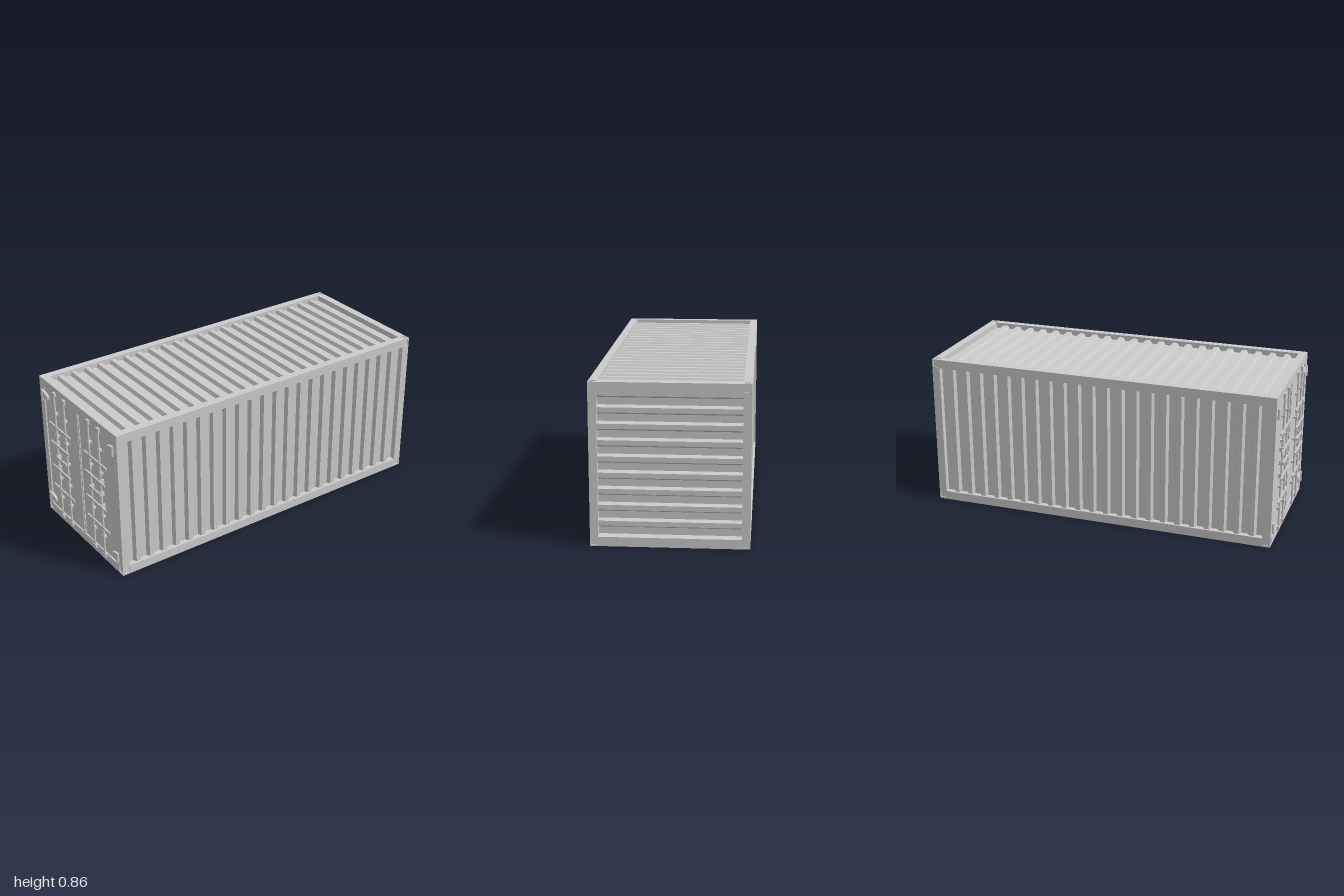
import * as THREE from 'three';

const V = (x, y, z) => new THREE.Vector3(x, y, z);
const C = V(0.01, 0.43, 0);          // body centre
const H = V(0.99, 0.43, 0.41);       // body half sizes
const OPEN = V(0.945, 0.38, 0.367);  // half sizes of the frame openings
const SKIN = 0.006;                  // frame plate thickness
const mat = new THREE.MeshStandardMaterial({ color: 0xcccccc, flatShading: true });
const smooth = new THREE.MeshStandardMaterial({ color: 0xcccccc });

const along = (vec, axis) => Math.abs(vec.dot(axis));

function rect(P, x0, y0, x1, y1) {
  const p = new P();
  p.moveTo(x0, y0); p.lineTo(x1, y0); p.lineTo(x1, y1); p.lineTo(x0, y1);
  p.closePath();
  return p;
}

function add(parent, name, geo, pos = V(0, 0, 0), material = mat) {
  const m = new THREE.Mesh(geo, material);
  m.name = name;
  m.position.copy(pos);
  parent.add(m);
  return m;
}
const box = (parent, name, w, h, d, x, y, z) =>
  add(parent, name, new THREE.BoxGeometry(w, h, d), V(x, y, z));

// Outer frame plate of one side, with its opening and corner fitting holes
function framePlate(parent, u, n) {
  const v = n.clone().cross(u);
  const a = along(H, u), b = along(H, v);
  const shape = rect(THREE.Shape, -a, -b, a, b);
  shape.holes.push(rect(THREE.Path, -along(OPEN, u), -along(OPEN, v), along(OPEN, u), along(OPEN, v)));
  for (const i of [-1, 1]) for (const j of [-1, 1]) {
    const corner = u.clone().multiplyScalar(i * a).addScaledVector(v, j * b).addScaledVector(n, along(H, n));
    if (corner.x < 0 && corner.y > 0) continue; // plain upper corners at the door end
    const hu = along(V(0.032, 0.037, 0.03), u), hv = along(V(0.032, 0.037, 0.03), v);
    const x0 = i * (a - 0.008 - hu / 2), y0 = j * (b - 0.008 - hv / 2);
    shape.holes.push(rect(THREE.Path, x0 - hu / 2, y0 - hv / 2, x0 + hu / 2, y0 + hv / 2));
  }
  const geo = new THREE.ExtrudeGeometry(shape, { depth: SKIN, bevelEnabled: false });
  geo.translate(0, 0, along(H, n) - SKIN);
  geo.applyMatrix4(new THREE.Matrix4().makeBasis(u, v, n));
  add(parent, 'framePlate', geo, C);
}

// Trapezoid-ribbed sheet: ribs follow each other along u and stand out along n
function ribbedPanel(parent, name, u, n, ribs, extent, width) {
  const w = u.clone().cross(n), top = along(H, n) - 0.012, low = top - 0.02;
  const s = new THREE.Shape();
  s.moveTo(-extent, low - 0.005);
  s.lineTo(-extent, low);
  for (const c of ribs) {
    s.lineTo(c - 0.024, low);
    s.lineTo(c - 0.013, top);
    s.lineTo(c + 0.013, top);
    s.lineTo(c + 0.024, low);
  }
  s.lineTo(extent, low);
  s.lineTo(extent, low - 0.005);
  s.closePath();
  const geo = new THREE.ExtrudeGeometry(s, { depth: width, bevelEnabled: false });
  geo.translate(0, 0, -width / 2);
  geo.applyMatrix4(new THREE.Matrix4().makeBasis(u, n, w));
  add(parent, name, geo, C);
}

function buildFrame(parent) {
  const frame = new THREE.Group();
  frame.name = 'frame';
  parent.add(frame);
  const X = V(1, 0, 0), Z = V(0, 0, 1);
  for (const s of [-1, 1]) {
    framePlate(frame, X, V(0, 0, s));
    framePlate(frame, X, V(0, s, 0));
    framePlate(frame, Z, V(s, 0, 0));
  }
  // twelve beams behind the plates
  const t = H.clone().subScalar(SKIN).sub(OPEN);
  const mid = OPEN.clone().addScaledVector(t, 0.5);
  const full = H.clone().subScalar(SKIN).multiplyScalar(2);
  for (const i of [-1, 1]) for (const j of [-1, 1]) {
    box(frame, 'longRail', full.x, t.y, t.z, C.x, C.y + i * mid.y, j * mid.z);
    box(frame, 'endRail', t.x, t.y, full.z, C.x + j * mid.x, C.y + i * mid.y, 0);
    box(frame, 'cornerPost', t.x, full.y, t.z, C.x + i * mid.x, C.y, j * mid.z);
  }
}

// One door leaf on the -x end; side is the sign of z
function buildDoor(parent, side) {
  const door = new THREE.Group();
  door.name = side > 0 ? 'frontDoor' : 'backDoor';
  parent.add(door);
  const face = -0.972;
  box(door, 'doorLeaf', 0.02, 0.77, 0.366, face + 0.01, 0.43, side * 0.188);
  box(door, 'doorGasket', 0.006, 0.76, 0.008, face - 0.002, 0.43, side * 0.008);

  for (const z of [0.13, 0.235]) {
    add(door, 'lockRod', new THREE.CylinderGeometry(0.006, 0.006, 0.8, 10), V(-0.987, 0.43, side * z), smooth);
    for (const y of [0.04, 0.82]) box(door, 'rodCam', 0.014, 0.022, 0.026, -0.985, y, side * z);
    for (const y of [0.16, 0.29, 0.43, 0.56, 0.70])
      box(door, 'rodGuide', 0.019, 0.014, 0.022, -0.983, y, side * z);
  }
  // cross bars and handles
  for (const y of [0.22, 0.62])
    box(door, 'crossBar', 0.008, 0.012, 0.23, -0.99, y, side * 0.19);
  for (const [y, z] of [[0.355, 0.19], [0.51, 0.19], [0.43, 0.185]]) {
    box(door, 'handle', 0.008, 0.012, y === 0.43 ? 0.12 : 0.2, -0.996, y, side * z);
    box(door, 'handleCatch', 0.024, 0.024, 0.014, -0.984, y, side * (z + 0.05));
  }
  // hinges: a knuckle on the post with a tapering strap
  for (const y of [0.1, 0.76]) {
    add(door, 'hingeKnuckle', new THREE.CylinderGeometry(0.008, 0.008, 0.06, 10), V(-0.986, y, side * 0.372), smooth);
    const s = new THREE.Shape();
    s.moveTo(0, -0.026); s.lineTo(0.055, -0.01); s.lineTo(0.055, 0.01); s.lineTo(0, 0.026);
    s.closePath();
    const geo = new THREE.ExtrudeGeometry(s, { depth: 0.014, bevelEnabled: false });
    geo.translate(0, 0, -0.007);
    const strap = add(door, 'hingeStrap', geo, V(-0.98, y, side * 0.372));
    strap.rotation.y = side * Math.PI / 2;
  }
}

export function createModel() {
  const model = new THREE.Group();
  model.name = 'cargoContainer';
  buildFrame(model);

  // ribbed walls, roof, floor and closed end
  const X = V(1, 0, 0), Y = V(0, 1, 0);
  const longRibs = Array.from({ length: 22 }, (_, i) => (i - 10.5) * 0.084);
  const endRibs = Array.from({ length: 10 }, (_, i) => 0.035 + i * 0.085 - C.y);
  ribbedPanel(model, 'frontWall', X, V(0, 0, 1), longRibs, 0.96, 0.79);
  ribbedPanel(model, 'backWall', X, V(0, 0, -1), longRibs, 0.96, 0.79);
  ribbedPanel(model, 'roof', X, V(0, 1, 0), longRibs, 0.96, 0.76);
  ribbedPanel(model, 'floor', X, V(0, -1, 0), longRibs, 0.96, 0.76);
  ribbedPanel(model, 'endWall', Y, X, endRibs, 0.42, 0.76);

  for (const side of [-1, 1]) buildDoor(model, side);
  return model;
}
